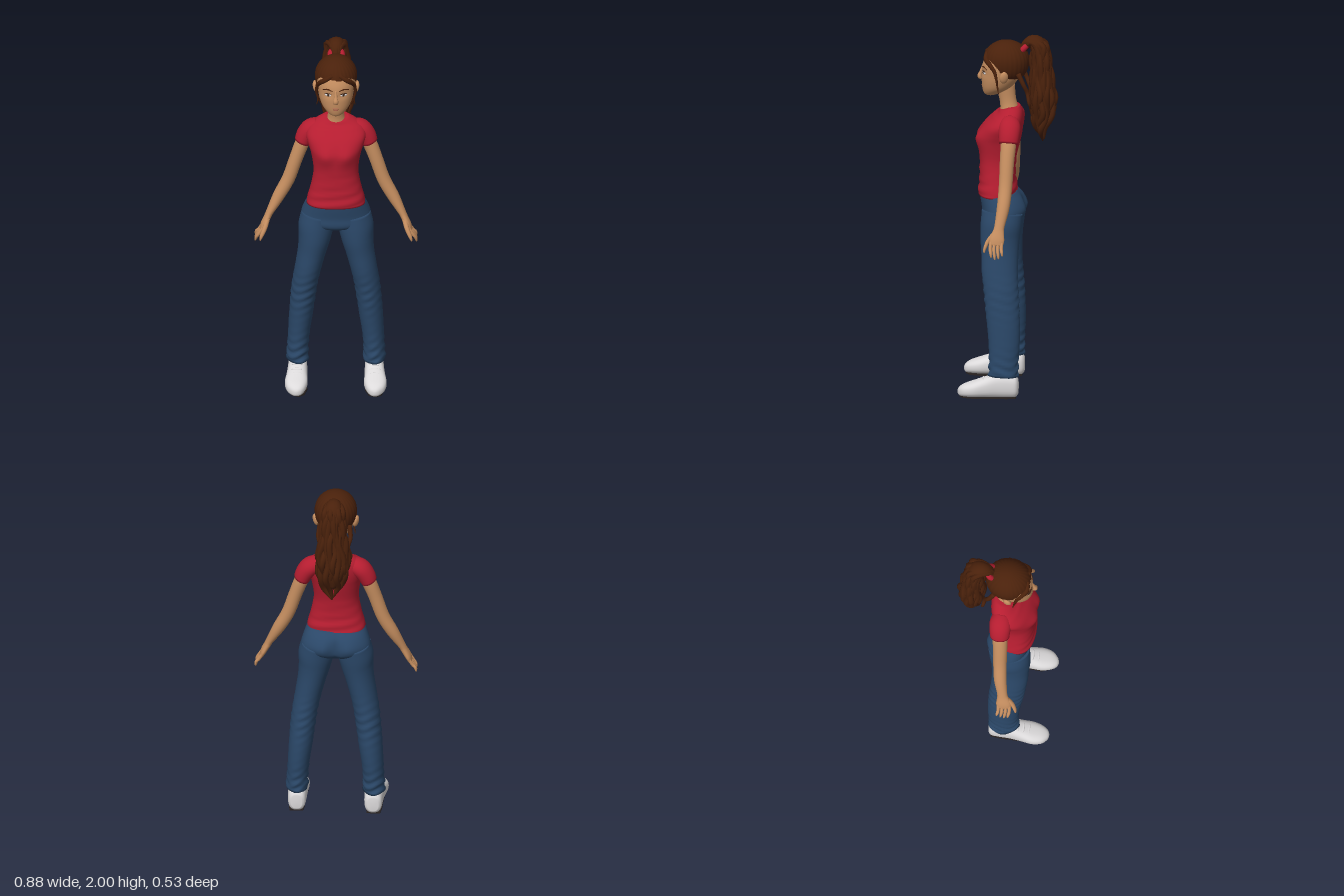
import * as THREE from 'three';

const V = (x, y, z) => new THREE.Vector3(x, y, z);
const mat = (name, color, side = THREE.FrontSide) => {
  const m = new THREE.MeshStandardMaterial({ color, side });
  m.name = name;
  return m;
};

// Smooth skin over elliptical stations [x, y, z, radiusN, radiusB]
function loft(stations, { B = V(0, 0, 1), T = null, e = 2, seg = 20, steps = 4, warp = null } = {}) {
  const path = new THREE.CatmullRomCurve3(stations.map(s => V(s[0], s[1], s[2])), false, 'catmullrom');
  const size = new THREE.CatmullRomCurve3(stations.map(s => V(s[3], s[4], 0)), false, 'catmullrom');
  const rings = (stations.length - 1) * steps, pos = [], idx = [];
  const pw = v => Math.sign(v) * Math.abs(v) ** (2 / e);
  for (let i = 0; i <= rings; i++) {
    const t = i / rings, c = path.getPoint(t), r = size.getPoint(t);
    const dir = T || path.getTangent(t);
    const n = dir.clone().cross(B).normalize(), b = n.clone().cross(dir);
    for (let j = 0; j < seg; j++) {
      const a = j / seg * Math.PI * 2;
      const p = c.clone().addScaledVector(n, r.x * pw(Math.cos(a))).addScaledVector(b, r.y * pw(Math.sin(a)));
      if (warp) warp(p, a, t);
      pos.push(p.x, p.y, p.z);
    }
  }
  for (let i = 0; i < rings; i++) for (let j = 0; j < seg; j++) {
    const a = i * seg + j, b = i * seg + (j + 1) % seg;
    idx.push(a, a + seg, b, b, a + seg, b + seg);
  }
  // end caps
  for (const [row, flip] of [[0, false], [rings, true]]) {
    const mid = V(0, 0, 0);
    for (let j = 0; j < seg; j++) mid.add(V(...pos.slice((row * seg + j) * 3, (row * seg + j) * 3 + 3)));
    mid.divideScalar(seg);
    const k = pos.length / 3;
    pos.push(mid.x, mid.y, mid.z);
    for (let j = 0; j < seg; j++) {
      const a = row * seg + j, b = row * seg + (j + 1) % seg;
      flip ? idx.push(k, b, a) : idx.push(k, a, b);
    }
  }
  const g = new THREE.BufferGeometry();
  g.setAttribute('position', new THREE.Float32BufferAttribute(pos, 3));
  g.setIndex(idx);
  g.computeVertexNormals();
  return g;
}

export function createModel() {
  const group = new THREE.Group();
  const skin = mat('skin', 0xc48d5f), hair = mat('brown hair', 0x4a210b, THREE.DoubleSide);
  const red = mat('red cloth', 0xb51d30), denim = mat('blue denim', 0x2b4869);
  const white = mat('white leather', 0xdcdadb), dark = mat('dark rubber', 0x2a2422);
  const lip = mat('lips', 0xa8604c), iris = mat('iris', 0x3a2418);
  const add = (name, geo, m) => {
    const mesh = new THREE.Mesh(geo, m);
    mesh.name = name;
    group.add(mesh);
    return mesh;
  };
  const blob = (name, m, p, r, ry = 0, rz = 0) => {
    const b = add(name, new THREE.SphereGeometry(1, 16, 10), m);
    b.position.set(...p);
    b.scale.set(...r);
    b.rotation.set(0, ry, rz);
    return b;
  };
  const UP = V(0, 1, 0), X = V(1, 0, 0);
  const bump = (v, c, w) => Math.exp(-(((v - c) / w) ** 2));

  // Shirt
  add('shirt', loft([
    [0, 1.105, .066, .16, .108], [0, 1.14, .066, .154, .105], [0, 1.2, .068, .138, .098],
    [0, 1.3, .066, .122, .1], [0, 1.4, .057, .135, .114], [0, 1.45, .048, .15, .115],
    [0, 1.5, .032, .163, .104], [0, 1.54, .012, .15, .084], [0, 1.573, 0, .108, .066], [0, 1.6, .002, .062, .054],
  ], {
    T: UP, e: 2.3, seg: 40, warp: (p, a) => {
      const y = p.y;
      if (p.z > .06) p.z += .02 * bump(Math.abs(p.x), .06, .05) * bump(y, 1.42, .05);
      if (y < 1.3) p.z += .003 * Math.sin(y * 110 + a * 2);
      if (y > 1.55) p.y -= .4 * Math.max(0, p.z) * (y - 1.55) / .05;
    },
  }), red);

  // Hips of the jeans
  add('jeansHips', loft([
    [0, .945, .042, .07, .07], [0, .965, .042, .15, .1], [0, .99, .036, .19, .117], [0, 1.03, .032, .188, .121],
    [0, 1.08, .045, .172, .116], [0, 1.125, .066, .154, .101],
  ], {
    T: UP, e: 2.2, seg: 40, warp: p => {
      if (p.z < 0) p.z += (.03 * bump(p.x, 0, .025) - .008 * bump(Math.abs(p.x), .08, .05)) * bump(p.y, 1.02, .06);
    },
  }), denim);

  // Neck and head
  add('neck', loft([[0, 1.56, 0, .06, .055], [0, 1.6, .006, .046, .048], [0, 1.65, .016, .041, .047],
    [0, 1.73, .03, .045, .055]], { T: UP }), skin);
  add('head', loft([
    [0, 1.655, .108, .018, .022], [0, 1.668, .098, .043, .046], [0, 1.7, .074, .073, .078], [0, 1.74, .058, .09, .097],
    [0, 1.78, .048, .098, .107], [0, 1.83, .042, .103, .108], [0, 1.88, .033, .1, .096], [0, 1.93, .028, .07, .07],
    [0, 1.95, .028, .02, .02],
  ], {
    T: UP, seg: 40, warp: p => {
      if (p.z > .08) p.z -= .007 * bump(Math.abs(p.x), .042, .025) * bump(p.y, 1.792, .02);
    },
  }), skin);
  add('nose', loft([[0, 1.82, .145, .008, .006], [0, 1.785, .158, .009, .009], [0, 1.76, .166, .013, .015],
    [0, 1.747, .156, .01, .012]], { B: X, seg: 12 }), skin);
  blob('upperLip', lip, [0, 1.711, .146], [.023, .005, .009]);
  blob('lowerLip', lip, [0, 1.702, .145], [.019, .006, .009]);

  // Hair cap with a hairline that drops from brow to nape
  const cap = new THREE.SphereGeometry(1, 96, 24), cp = cap.attributes.position;
  for (let i = 0; i < cp.count; i++) {
    const phi = cap.attributes.uv.getX(i) * Math.PI * 2, f = Math.cos(phi);
    const reach = 1.4 + 1.17 * (1 - THREE.MathUtils.smoothstep(f, -.3, .78)) + .04 * Math.sin(phi * 9);
    const th = (1 - cap.attributes.uv.getY(i)) * reach;
    const r = (th > Math.PI / 2 ? Math.sin(th) ** .6 : Math.sin(th)) * (1 + .012 * Math.sin(phi * 28));
    cp.setXYZ(i, .114 * r * Math.sin(phi), 1.855 + .11 * Math.cos(th), .02 + .124 * r * f);
  }
  cap.computeVertexNormals();
  add('hairCap', cap, hair);

  // Hair tie and ponytail
  const tie = add('hairTie', new THREE.TorusGeometry(.032, .016, 10, 24), red);
  tie.position.set(0, 1.927, -.074);
  tie.rotation.x = -.75;
  const tail = [[1.9, -.06, .006], [1.962, -.108, .02], [1.945, -.158, .032], [1.86, -.168, .04], [1.76, -.174, .047],
    [1.66, -.18, .058], [1.57, -.178, .052], [1.49, -.172, .034], [1.42, -.165, .012]];
  add('ponytailCore', loft(tail.slice(0, 8).map(([y, z, s], k) => [0, y, z, s * .9 + .012, k === 7 ? .02 : s * 1.1 + .015]),
    { B: X, seg: 16 }), hair);
  for (let i = 0; i < 22; i++) {
    const a = i / 22 * Math.PI * 2, n = 9 - (i * 5) % 3;
    const pts = tail.slice(0, n).map(([y, z, s], k) => {
      const w = k < 2 ? .002 : .01, r = k === n - 1 ? .004 : .012 + .006 * Math.sin(Math.PI * k / n);
      return [Math.cos(a) * s * 1.35 + w * Math.sin(k * 2.4 + i * 1.7), y + (k > 3 ? .02 * Math.sin(i * 2.3) : 0),
        z + Math.sin(a) * s + w * Math.cos(k * 2.7 + i * 2.1), r, r];
    });
    add('ponytailLock', loft(pts, { B: X, seg: 7, steps: 4 }), hair);
  }

  // Outline of a shoe sole
  const soleShape = new THREE.Shape([[-.036, .05], [.036, .05], [.044, 0], [.046, -.1], [.056, -.17], [.04, -.235],
    [.01, -.258], [-.03, -.24], [-.05, -.18], [-.045, -.1], [-.043, 0]].map(p => new THREE.Vector2(...p)));

  for (const s of [1, -1]) {
    const side = s > 0 ? 'left' : 'right';
    const m = rows => rows.map(([x, ...rest]) => [x * s, ...rest]);

    // Face details
    blob(side + 'Ear', skin, [.11 * s, 1.785, .025], [.015, .035, .024], .3 * s, -.2 * s);
    blob(side + 'Eye', white, [.042 * s, 1.79, .138], [.02, .008, .006], .4 * s);
    blob(side + 'Iris', iris, [.041 * s, 1.79, .1425], [.0075, .0075, .003], .4 * s);
    blob(side + 'UpperLash', iris, [.042 * s, 1.798, .14], [.022, .0025, .006], .4 * s);
    add(side + 'Brow', loft(m([[.018, 1.817, .148, .003, .003], [.045, 1.824, .139, .004, .004],
      [.072, 1.815, .121, .002, .002]]), { B: UP, seg: 8 }), hair);

    // Loose curls framing the face
    add(side + 'TempleLock', loft(m([[.02, 1.9, .125, .012, .012], [.06, 1.872, .126, .014, .014],
      [.088, 1.845, .1, .013, .013], [.1, 1.815, .078, .011, .01], [.106, 1.77, .066, .007, .007],
      [.098, 1.73, .062, .005, .005], [.104, 1.69, .055, .002, .002]]), { seg: 8 }), hair);
    add(side + 'NapeLock', loft(m([[.08, 1.8, -.05, .014, .014], [.088, 1.74, -.08, .012, .012],
      [.076, 1.69, -.1, .011, .011], [.092, 1.64, -.11, .009, .009], [.08, 1.6, -.12, .003, .003]]), { seg: 8 }), hair);

    // Sleeve, arm and hand
    add(side + 'Sleeve', loft(m([[.09, 1.53, -.004, .045, .05], [.135, 1.512, -.008, .052, .06],
      [.165, 1.475, -.008, .05, .057], [.184, 1.432, -.006, .044, .052]]), { seg: 24 }), red);
    add(side + 'Arm', loft(m([[.15, 1.49, -.006, .038, .042], [.185, 1.42, -.005, .039, .042],
      [.218, 1.33, 0, .037, .039], [.258, 1.21, .004, .036, .037], [.31, 1.11, .012, .033, .035],
      [.358, 1.02, .028, .021, .028], [.372, .99, .033, .019, .031], [.392, .95, .04, .017, .041],
      [.405, .918, .043, .012, .036]])), skin);
    for (let f = 0; f < 4; f++) {
      const z = .012 + f * .02, drop = [.02, .005, 0, .012][f];
      add(side + 'Finger', loft(m([[.393, .945, z, .009, .009], [.418, .905, z + .002, .0095, .0095],
        [.433, .87 + drop, z - .002, .008, .008], [.438, .85 + drop, z - .005, .004, .004]]), { seg: 10 }), skin);
    }
    add(side + 'Thumb', loft(m([[.372, .985, .05, .014, .014], [.386, .945, .085, .013, .012],
      [.404, .905, .104, .01, .009], [.412, .88, .108, .004, .004]]), { seg: 10 }), skin);

    // Trouser leg with creases at knee and hem
    add(side + 'TrouserLeg', loft(m([[.098, 1.02, .034, .09, .112], [.108, .95, .04, .096, .112],
      [.116, .88, .045, .088, .108], [.13, .8, .045, .078, .102], [.15, .7, .044, .072, .099],
      [.168, .6, .036, .069, .095], [.18, .5, .028, .067, .093], [.19, .4, .02, .065, .09],
      [.2, .3, .016, .06, .085], [.207, .2, .018, .057, .08], [.209, .12, .02, .06, .082]]), {
      seg: 28, steps: 7, warp: (p, a) => {
        const amt = .0055 * bump(p.y, .15, .1) + .0035 * bump(p.y, .55, .1), w = Math.sin(p.y * 120 + 2 * Math.sin(a * 2));
        p.x += amt * w * Math.cos(a) * s;
        p.z += amt * w * Math.sin(a);
      },
    }), denim);

    // Shoe, laces and sole
    add(side + 'Shoe', loft(m([[.208, .06, -.062, .03, .04], [.208, .064, -.045, .046, .062], [.208, .068, 0, .051, .07],
      [.209, .066, .06, .053, .068], [.212, .055, .12, .057, .056], [.215, .045, .18, .062, .044],
      [.216, .037, .23, .05, .034], [.213, .03, .258, .028, .024], [.213, .028, .268, .008, .01]]), {
      T: V(0, 0, 1), B: UP, e: 2.5, seg: 28, warp: p => { p.y = Math.max(p.y, .006); },
    }), white);
    for (let k = 0; k < 3; k++) {
      const lace = blob(side + 'Lace', white, [.212 * s, .118 - k * .013, .098 + k * .03], [.03, .006, .007]);
      lace.rotation.x = .4;
    }
    const sole = add(side + 'Sole', new THREE.ExtrudeGeometry(soleShape, { depth: .008, bevelEnabled: false }), dark);
    sole.rotation.x = -Math.PI / 2;
    sole.position.set(.21 * s, 0, 0);
  }
  return group;
}
